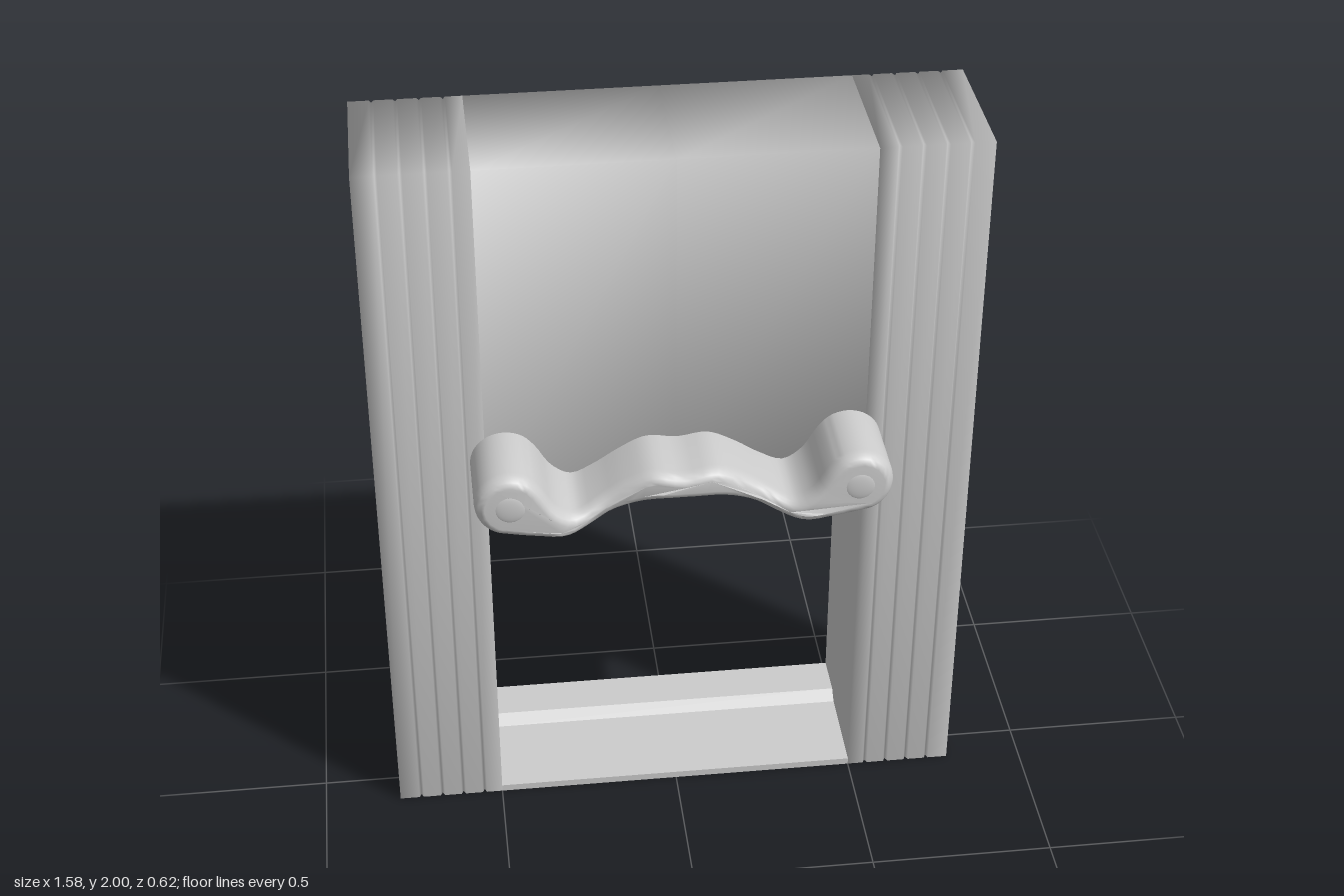
import * as THREE from 'three';
import { mergeVertices, toCreasedNormals } from 'three/addons/utils/BufferGeometryUtils.js';

const FRONT = 0.09, BACK = -0.31, HALF = 0.79, OPEN = 0.5;

// Skin cross-sections ([z, y] loops) placed at rising x, sharing vertices for smooth normals
function loft(sections, caps) {
  const pos = [], idx = [], n = sections[0].loop.length, last = (sections.length - 1) * n;
  for (const { x, loop } of sections) for (const [z, y] of loop) pos.push(x, y, z);
  for (let i = 0; i < sections.length - 1; i++) {
    for (let k = 0; k < n; k++) {
      const a = i * n + k, d = i * n + (k + 1) % n;
      idx.push(a, a + n, d + n, a, d + n, d);
    }
  }
  if (caps) {
    for (let k = 1; k < n - 1; k++) {
      idx.push(0, k, k + 1, last, last + k + 1, last + k);
    }
  }
  const g = new THREE.BufferGeometry();
  g.setAttribute('position', new THREE.Float32BufferAttribute(pos, 3));
  g.setIndex(idx);
  g.computeVertexNormals();
  return g;
}

// Rectangular section from y0 to the top, inset front and back
const slab = (y0, inset = 0) => [
  [FRONT - inset, y0], [FRONT - inset, 2], [BACK + inset, 2], [BACK + inset, y0],
];

// Fluted side column with narrow V grooves
function columnGeometry(side) {
  const s = [{ x: OPEN, loop: slab(0) }];
  for (const x of [0.55, 0.61, 0.67, 0.73]) {
    s.push({ x: x - 0.006, loop: slab(0) }, { x, loop: slab(0, 0.012) }, { x: x + 0.006, loop: slab(0) });
  }
  s.push({ x: HALF, loop: slab(0) });
  if (side < 0) {
    s.reverse();
    s.forEach((e) => { e.x = -e.x; });
  }
  return loft(s, true);
}

// Scrolled shelf outline, right half then mirrored
function shelfGeometry() {
  const half = [[0.08, 1.197], [0.15, 1.165], [0.22, 1.12], [0.28, 1.095], [0.33, 1.125]];
  for (let a = 150; a >= -90; a -= 30) {
    const t = THREE.MathUtils.degToRad(a);
    half.push([0.45 + 0.09 * Math.cos(t), 1.145 + 0.09 * Math.sin(t)]);
  }
  half.push([0.38, 1.043], [0.3, 1.034], [0.24, 1.05], [0.17, 1.085], [0.09, 1.112]);
  const outline = [[0, 1.188], ...half, [0, 1.118], ...half.map(([x, y]) => [-x, y]).reverse()];
  const curve = new THREE.CatmullRomCurve3(outline.map(([x, y]) => new THREE.Vector3(x, y, 0)), true);
  const shape = new THREE.Shape(curve.getPoints(140).slice(0, -1).map((p) => new THREE.Vector2(p.x, p.y)));
  let g = new THREE.ExtrudeGeometry(shape, {
    depth: 0.2, bevelEnabled: true, bevelSize: 0.025, bevelOffset: -0.025, bevelThickness: 0.04, bevelSegments: 5,
  });
  g.translate(0, 0, 0.07);
  // Pull the front of the arms back, leaving the scrolls and middle proud
  const p = g.attributes.position, { smoothstep } = THREE.MathUtils;
  for (let i = 0; i < p.count; i++) {
    const x = Math.abs(p.getX(i));
    const dip = 0.023 + 0.022 * smoothstep(x, 0.02, 0.19) - 0.045 * smoothstep(x, 0.19, 0.34);
    if (p.getZ(i) > 0.15) p.setZ(i, p.getZ(i) - dip);
  }
  g.deleteAttribute('normal');
  g.deleteAttribute('uv');
  g = mergeVertices(g, 1e-4);
  return toCreasedNormals(g, 0.9);
}

export function createModel() {
  const model = new THREE.Group();
  model.name = 'fireplaceSurround';
  const stone = new THREE.MeshStandardMaterial({ color: 0xcccccc });
  stone.name = 'paleStone';
  const add = (name, geometry) => {
    const mesh = new THREE.Mesh(geometry, stone);
    mesh.name = name;
    model.add(mesh);
    return mesh;
  };

  add('leftColumn', columnGeometry(1));
  add('rightColumn', columnGeometry(-1));

  // Upper panel with a shallow peaked underside
  add('upperPanel', loft([
    { x: -OPEN, loop: slab(0.995) }, { x: 0, loop: slab(1.055) }, { x: OPEN, loop: slab(0.995) },
  ], false));

  // Threshold, low in front with a raised lip behind
  const sill = [[FRONT, 0], [FRONT, 0.02], [-0.16, 0.025], [-0.19, 0.05], [BACK, 0.05], [BACK, 0]];
  add('sill', toCreasedNormals(loft([{ x: -OPEN, loop: sill }, { x: OPEN, loop: sill }], false), 0.6));

  // Shelf with a raised boss on each scroll
  add('scrolledShelf', shelfGeometry());
  for (const side of [1, -1]) {
    const boss = add(side > 0 ? 'leftScrollBoss' : 'rightScrollBoss', new THREE.SphereGeometry(0.042, 24, 12));
    boss.scale.z = 0.2;
    boss.position.set(side * 0.45, 1.145, 0.306);
  }
  return model;
}
